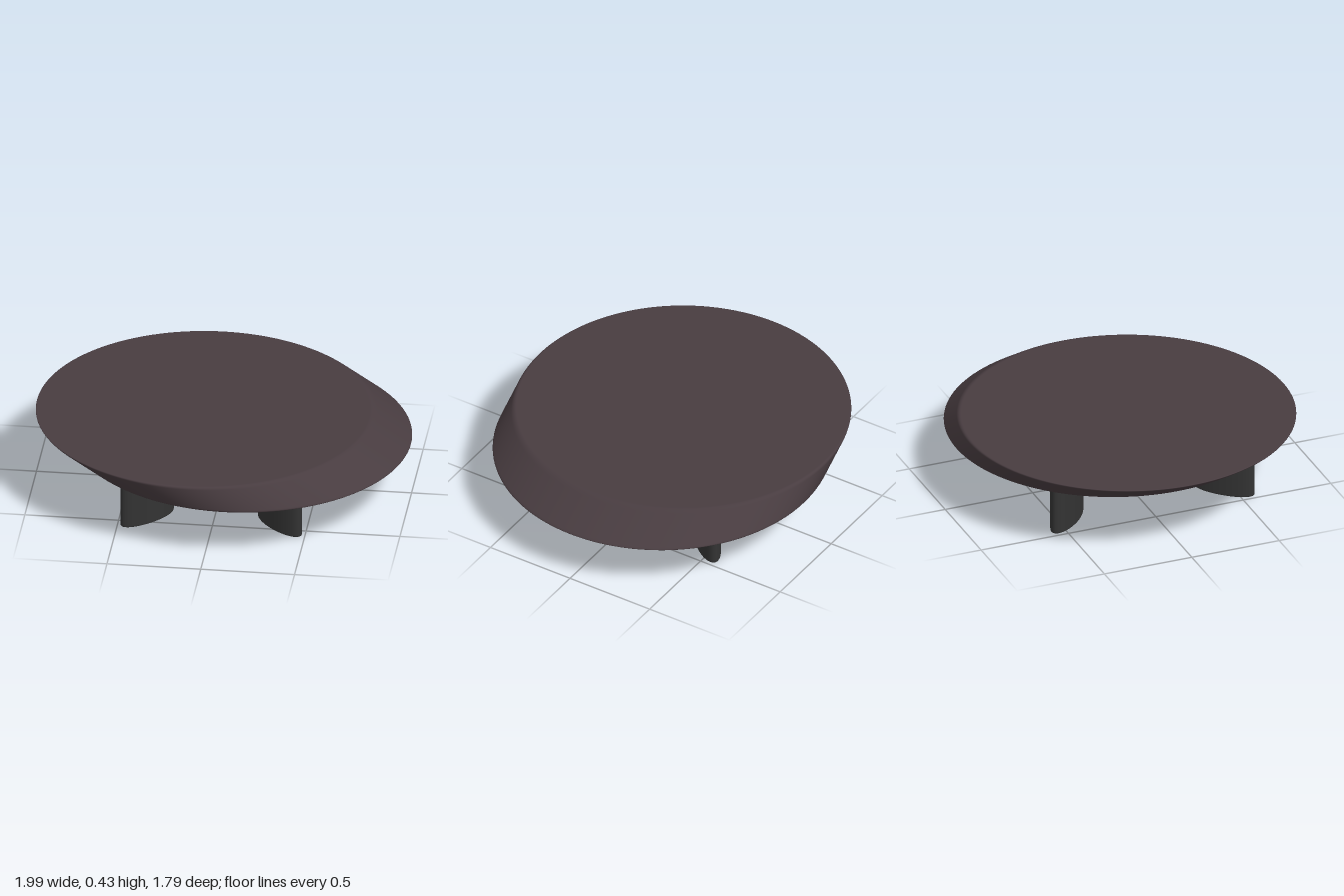
import * as THREE from 'three';

// Solid disc of radius r and height h about the origin, with rounded rims.
function roundedDisc(r, h, bevel, segments) {
  const points = [];
  const add = (x, y) => points.push(new THREE.Vector2(x, y));
  const steps = 4;
  // extra ring inside each rim keeps the caps flat-shaded up to the bevel
  add(0, -h / 2);
  add(r - bevel * 1.3, -h / 2);
  for (let i = 0; i <= steps; i++) {
    const a = (i / steps - 1) * Math.PI / 2;
    add(r - bevel + bevel * Math.cos(a), -h / 2 + bevel + bevel * Math.sin(a));
  }
  add(r, -h / 2 + bevel * 1.3);
  add(r, h / 2 - bevel * 1.3);
  for (let i = 0; i <= steps; i++) {
    const a = (i / steps) * Math.PI / 2;
    add(r - bevel + bevel * Math.cos(a), h / 2 - bevel + bevel * Math.sin(a));
  }
  add(r - bevel * 1.3, h / 2);
  add(0, h / 2);
  return new THREE.LatheGeometry(points, segments);
}

export function createModel() {
  const group = new THREE.Group();
  const topMaterial = new THREE.MeshStandardMaterial({ color: 0x483c40 });
  const legMaterial = new THREE.MeshStandardMaterial({ color: 0x333333 });

  // slab: a round disc sheared sideways so its rim slants
  const slabGeometry = roundedDisc(0.897, 0.14, 0.012, 128);
  slabGeometry.applyMatrix4(new THREE.Matrix4().makeShear(0, 0, -1.55, 0, 0, 0));
  const slab = new THREE.Mesh(slabGeometry, topMaterial);
  slab.name = 'tableTop';
  slab.position.y = 0.36;
  group.add(slab);

  // four oval legs, long axis pointing along the diagonals
  const legGeometry = roundedDisc(0.172, 0.3, 0.008, 64);
  legGeometry.scale(1, 1, 0.36);
  for (const sx of [-1, 1]) {
    for (const sz of [-1, 1]) {
      const leg = new THREE.Mesh(legGeometry, legMaterial);
      leg.name = (sz > 0 ? 'front' : 'back') + (sx > 0 ? 'Left' : 'Right') + 'Leg';
      leg.position.set(sx * 0.354, 0.15, sz * 0.45);
      leg.rotation.y = -sx * sz * Math.PI / 4;
      group.add(leg);
    }
  }
  return group;
}
